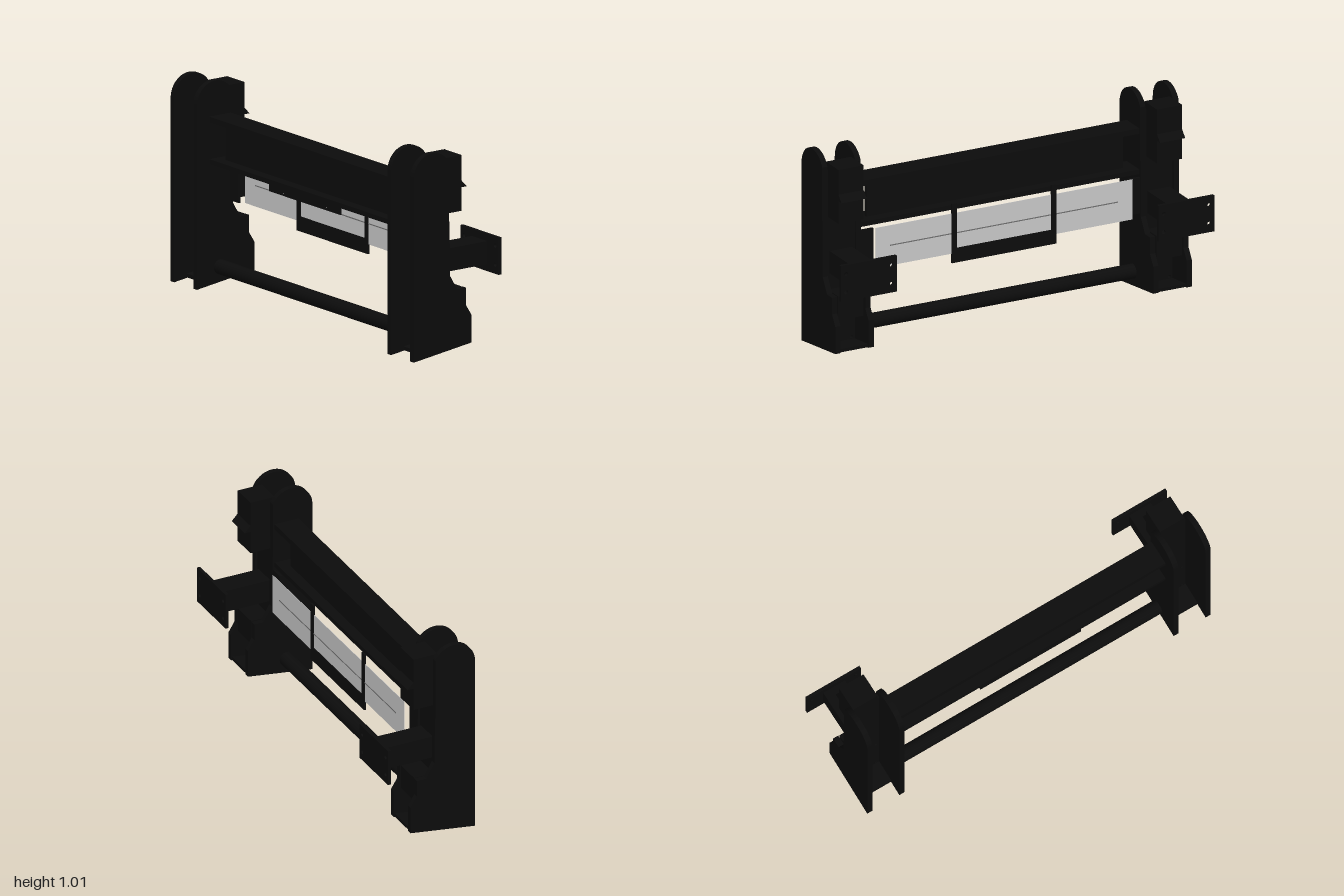
import * as THREE from 'three';

const black = new THREE.MeshStandardMaterial({ color: 0x0c0c0c });
const grey = new THREE.MeshStandardMaterial({ color: 0xcccccc });

function add(parent, name, geometry, material = black) {
  const mesh = new THREE.Mesh(geometry, material);
  mesh.name = name;
  parent.add(mesh);
  return mesh;
}

// Box given by its limits on each axis
function box(parent, name, [x0, x1], [y0, y1], [z0, z1], material) {
  const mesh = add(parent, name, new THREE.BoxGeometry(x1 - x0, y1 - y0, z1 - z0), material);
  mesh.position.set((x0 + x1) / 2, (y0 + y1) / 2, (z0 + z1) / 2);
  return mesh;
}

// Extrude a (z, y) outline along x, from x0 to x1
function sideExtrude(shape, x0, x1) {
  const g = new THREE.ExtrudeGeometry(shape, { depth: x1 - x0, bevelEnabled: false, curveSegments: 20 });
  g.rotateY(-Math.PI / 2); // shape x -> z, depth -> -x
  g.translate(x1, 0, 0);
  return g;
}

function outline(points) {
  return new THREE.Shape(points.map(([a, b]) => new THREE.Vector2(a, b)));
}

function rectangle(x0, x1, y0, y1) {
  return outline([[x0, y0], [x1, y0], [x1, y1], [x0, y1]]);
}

function circleHole(shape, x, y, r) {
  const p = new THREE.Path();
  p.absarc(x, y, r, 0, Math.PI * 2, true);
  shape.holes.push(p);
}

// Tall cheek plate with round top and stepped rear edge
function cheekShape() {
  const s = new THREE.Shape();
  s.moveTo(0.242, 0.003);
  s.lineTo(0.242, 0.9);
  s.absarc(0.132, 0.9, 0.11, 0, Math.PI * 0.86, false);
  for (const [z, y] of [[0.033, 0.7], [0.028, 0.52], [0.028, 0.395], [-0.015, 0.322],
    [-0.066, 0.322], [-0.066, 0.238], [-0.099, 0.185], [-0.099, 0.048]]) s.lineTo(z, y);
  s.closePath();
  return s;
}

// Post at one end, built for +x
function buildPost() {
  const post = new THREE.Group();
  const cheek = cheekShape();
  add(post, 'innerCheek', sideExtrude(cheek, 0.748, 0.776));
  add(post, 'outerCheek', sideExtrude(cheek, 0.926, 0.954));

  // Web joining the cheeks, with bolt holes
  const web = rectangle(0.776, 0.926, 0.02, 0.93);
  for (const x of [0.795, 0.907]) {
    for (const y of [0.06, 0.3, 0.72, 0.88]) circleHole(web, x, y, 0.008);
  }
  const webMesh = add(post, 'postWeb', new THREE.ExtrudeGeometry(web, { depth: 0.02, bevelEnabled: false }));
  webMesh.position.z = 0.04;
  const foot = outline([[0.168, 0.016], [0.168, 0.034], [-0.095, 0.066], [-0.095, 0.05]]);
  add(post, 'footPlate', sideExtrude(foot, 0.776, 0.926));

  // Upper rear block and its small catch
  box(post, 'upperBlock', [0.785, 0.92], [0.69, 0.963], [-0.067, 0.06]);
  add(post, 'catch', sideExtrude(outline([[-0.06, 0.845], [-0.098, 0.805], [-0.06, 0.805]]), 0.785, 0.92));

  // Lower rear block between the cheeks
  box(post, 'lowerBlock', [0.785, 0.92], [0.2, 0.322], [-0.064, 0.05]);

  // Rear arm with bolted end plate
  box(post, 'rearArm', [0.79, 0.91], [0.402, 0.515], [-0.228, 0.05]);
  const end = rectangle(0.7, 1, 0.368, 0.55);
  for (const x of [0.728, 0.972]) {
    for (const y of [0.412, 0.505]) circleHole(end, x, y, 0.01);
  }
  const endMesh = add(post, 'endPlate', new THREE.ExtrudeGeometry(end, { depth: 0.016, bevelEnabled: false }));
  endMesh.position.z = -0.242;

  // Tab that reaches inward to the panel
  box(post, 'panelTab', [0.68, 0.75], [0.41, 0.592], [0.034, 0.046]);
  return post;
}

// Turn a +x geometry into its mirror image, keeping faces outward
function mirrorGeometry(geometry) {
  const g = geometry.index ? geometry.toNonIndexed() : geometry.clone();
  g.scale(-1, 1, 1);
  for (const attribute of Object.values(g.attributes)) {
    const { array, itemSize: n } = attribute;
    for (let i = 0; i < array.length; i += 3 * n) {
      for (let k = 0; k < n; k++) {
        [array[i + n + k], array[i + 2 * n + k]] = [array[i + 2 * n + k], array[i + n + k]];
      }
    }
  }
  g.computeVertexNormals();
  return g;
}

export function createModel() {
  const model = new THREE.Group();
  model.name = 'crossFrame';

  const left = buildPost();
  left.name = 'leftPost';
  const right = left.clone();
  right.name = 'rightPost';
  for (const mesh of right.children) {
    mesh.geometry = mirrorGeometry(mesh.geometry);
    mesh.position.x *= -1;
  }
  model.add(left, right);

  // Upper cross beam: two flanges and a shorter web
  box(model, 'beamTopFlange', [-0.75, 0.75], [0.81, 0.838], [0.042, 0.168]);
  box(model, 'beamBottomFlange', [-0.75, 0.75], [0.606, 0.63], [0.042, 0.168]);
  box(model, 'beamWeb', [-0.69, 0.685], [0.63, 0.81], [0.095, 0.115]);

  // Lower round tie bar
  const tie = add(model, 'tieBar', new THREE.CylinderGeometry(0.036, 0.036, 1.5, 32));
  tie.rotation.z = Math.PI / 2;
  tie.position.set(0, 0.095, 0.105);

  // Wide panel with a narrow groove line
  box(model, 'panel', [-0.69, 0.685], [0.402, 0.605], [-0.001, 0.001], grey);
  for (const z of [-0.0025, 0.0025]) {
    box(model, 'panelGroove', [-0.61, 0.61], [0.502, 0.507], [z - 0.001, z + 0.001],
      new THREE.MeshStandardMaterial({ color: 0x707070 }));
  }

  // Hanging frame around the middle of the panel
  for (const s of [-1, 1]) {
    const x = [0.252 * s, 0.28 * s].sort((a, b) => a - b);
    box(model, 'hangerLeg', x, [0.355, 0.655], [-0.005, 0.005]);
  }
  box(model, 'hangerBottom', [-0.28, 0.28], [0.355, 0.428], [-0.005, 0.005]);

  // Drilled strip under the front edge of the beam
  const strip = rectangle(-0.28, 0.28, 0.572, 0.612);
  for (const x of [-0.17, 0.165]) circleHole(strip, x, 0.583, 0.007);
  const stripMesh = add(model, 'frontStrip', new THREE.ExtrudeGeometry(strip, { depth: 0.008, bevelEnabled: false }));
  stripMesh.position.z = 0.16;

  return model;
}
